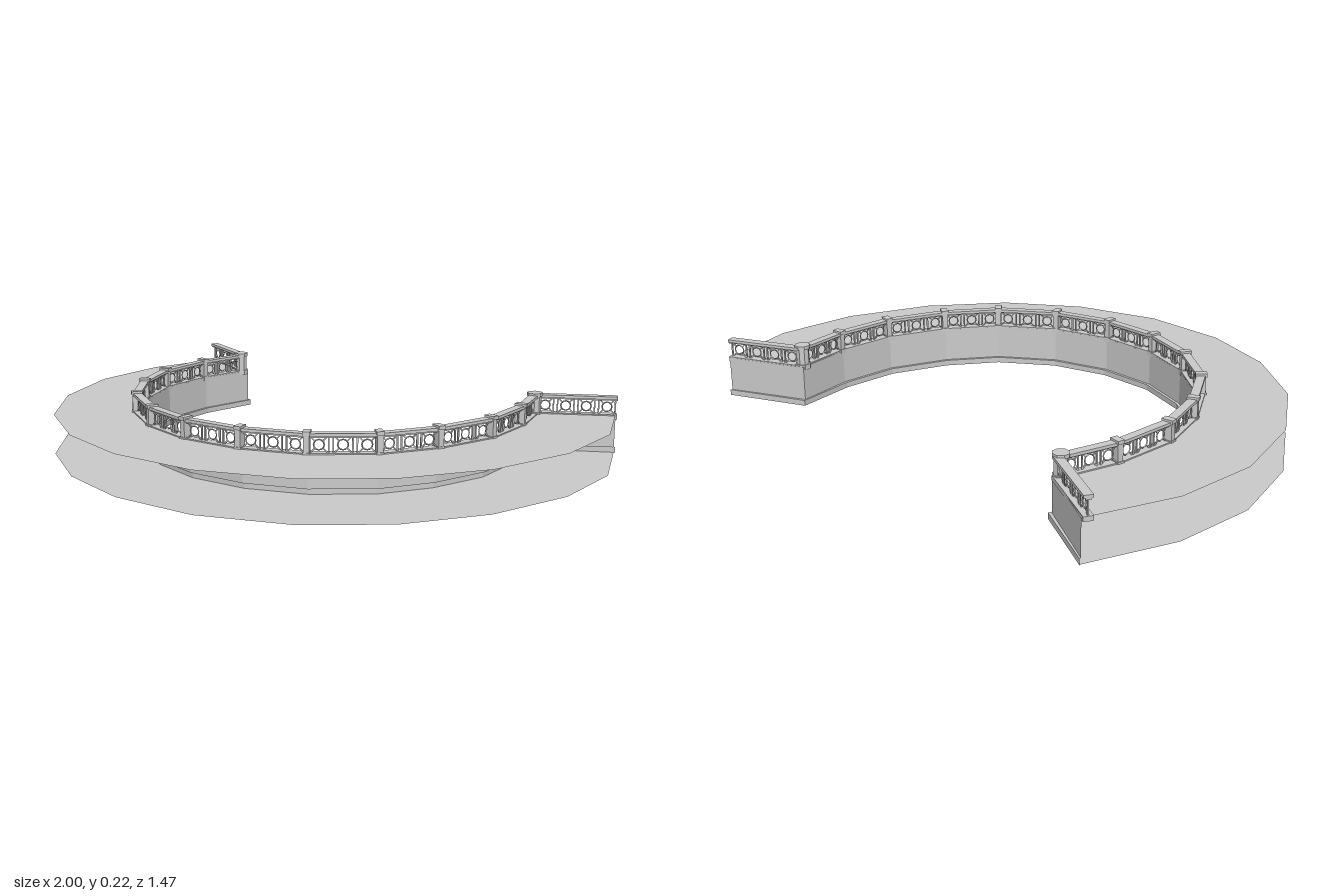
import * as THREE from 'three';

const material = new THREE.MeshStandardMaterial({ color: 0xcccccc, flatShading: true, side: THREE.DoubleSide });
const DECK = 0.142;

// Plan outlines as [x, z], running from the right end (-x) round to the left end (+x)
const outer = [[-0.906, -0.705], [-1, -0.4], [-1, -0.1], [-0.895, 0.203], [-0.703, 0.46], [-0.44, 0.64],
  [-0.152, 0.73], [0.168, 0.73], [0.473, 0.626], [0.72, 0.44], [0.9, 0.18], [1, -0.13], [1, -0.44], [0.89, -0.735]];
const posts = [[-0.666, -0.556], [-0.707, -0.364], [-0.703, -0.134], [-0.628, 0.064], [-0.5, 0.246], [-0.313, 0.374],
  [-0.104, 0.438], [0.12, 0.434], [0.334, 0.364], [0.516, 0.225], [0.628, 0.048], [0.698, -0.17], [0.694, -0.39], [0.65, -0.578]];
const endRails = [[[-0.917, -0.688], [-0.66, -0.566]], [[0.647, -0.588], [0.9, -0.722]]];

// Post line moved towards the centre of the ring, closed by the given end corners
function innerLine(factor, first, last) {
  const mid = posts.slice(1, -1).map(([x, z]) => [x * factor, -0.27 + (z + 0.27) * factor]);
  return [first, ...mid, last];
}
const wallLine = [outer[0], ...innerLine(0.977, [-0.645, -0.572], [0.624, -0.596]), outer[13]];
const plinthLine = [[-0.908, -0.712], ...innerLine(0.962, [-0.637, -0.58], [0.617, -0.604]), [0.892, -0.742]];

function add(group, geometry, name) {
  const mesh = new THREE.Mesh(geometry, material);
  mesh.name = name;
  group.add(mesh);
  return mesh;
}

// Flat sheet between the outer outline and an inner line
function sheet(line, y) {
  const points = [...outer, ...line.slice().reverse()].map(([x, z]) => new THREE.Vector2(x, -z));
  return new THREE.ShapeGeometry(new THREE.Shape(points)).rotateX(-Math.PI / 2).translate(0, y, 0);
}

// Band of quads through a stack of [line, y] sections
function band(sections) {
  const positions = [], index = [], n = sections[0][0].length;
  for (const [line, y] of sections) for (const [x, z] of line) positions.push(x, y, z);
  for (let s = 0; s < sections.length - 1; s++) {
    for (let i = 0; i < n - 1; i++) {
      const a = s * n + i, b = a + n;
      index.push(a, b, a + 1, a + 1, b, b + 1);
    }
  }
  const g = new THREE.BufferGeometry();
  g.setAttribute('position', new THREE.Float32BufferAttribute(positions, 3));
  g.setIndex(index);
  const flat = g.toNonIndexed();
  flat.computeVertexNormals();
  return flat;
}

// One straight run of railing: rails, then bars, rings and crossed braces per panel
function railing([ax, az], [bx, bz], name) {
  const run = new THREE.Group();
  run.name = name;
  const length = Math.hypot(bx - ax, bz - az);
  run.position.set((ax + bx) / 2, 0, (az + bz) / 2);
  run.rotation.y = -Math.atan2(bz - az, bx - ax);

  add(run, new THREE.BoxGeometry(length, 0.016, 0.032), 'bottomRail').position.y = 0.138;
  add(run, new THREE.BoxGeometry(length, 0.006, 0.018), 'topRailUnderside').position.y = 0.198;
  add(run, new THREE.BoxGeometry(length, 0.01, 0.03), 'topRail').position.y = 0.205;

  const count = Math.round(length / 0.07), step = length / count;
  const midY = 0.171, height = 0.052;
  for (let i = 0; i < count; i++) {
    const x = -length / 2 + (i + 0.5) * step;
    add(run, new THREE.TorusGeometry(0.017, 0.0025, 4, 12), 'ring').position.set(x, midY, 0);
    for (const side of [-1, 1]) {
      add(run, new THREE.BoxGeometry(0.005, height, 0.005), 'bar').position.set(x + side * (step / 2 - 0.007), midY, 0);
      // Short braces from the ring to the panel corners
      for (const up of [-1, 1]) {
        const brace = add(run, new THREE.BoxGeometry(0.018, 0.004, 0.004), 'brace');
        brace.position.set(x + side * 0.019, midY + up * 0.018, 0);
        brace.rotation.z = side * up * Math.PI / 4;
      }
    }
  }
  return run;
}

export function createModel() {
  const model = new THREE.Group();
  model.name = 'curvedTerrace';

  // Terrace body, open along its outer edge
  add(model, sheet(wallLine, DECK), 'deck');
  add(model, sheet(plinthLine, 0), 'underside');
  add(model, band([[plinthLine, 0], [plinthLine, 0.02], [wallLine, 0.02], [wallLine, DECK]]), 'innerWall');

  // Railing along the inner edge and both ends
  for (let i = 0; i < posts.length - 1; i++) model.add(railing(posts[i], posts[i + 1], 'innerRailing'));
  for (const [a, b] of endRails) model.add(railing(a, b, 'endRailing'));

  // Posts: octagonal at the corners, square between
  posts.forEach(([x, z], i) => {
    const post = new THREE.Group();
    post.name = 'post';
    post.position.set(x, 0, z);
    post.rotation.y = Math.atan2(x, z + 0.27);
    if (i === 0 || i === posts.length - 1) {
      add(post, new THREE.CylinderGeometry(0.023, 0.023, 0.08, 8), 'cornerShaft').position.y = 0.17;
      add(post, new THREE.CylinderGeometry(0.028, 0.028, 0.012, 8), 'cornerCap').position.y = 0.211;
      add(post, new THREE.CylinderGeometry(0.028, 0.028, 0.018, 8), 'cornerBase').position.y = 0.139;
    } else {
      add(post, new THREE.BoxGeometry(0.02, 0.08, 0.032), 'shaft').position.y = 0.17;
      add(post, new THREE.BoxGeometry(0.025, 0.012, 0.04), 'cap').position.y = 0.211;
      add(post, new THREE.BoxGeometry(0.025, 0.018, 0.038), 'base').position.y = 0.139;
    }
    model.add(post);
  });
  return model;
}
